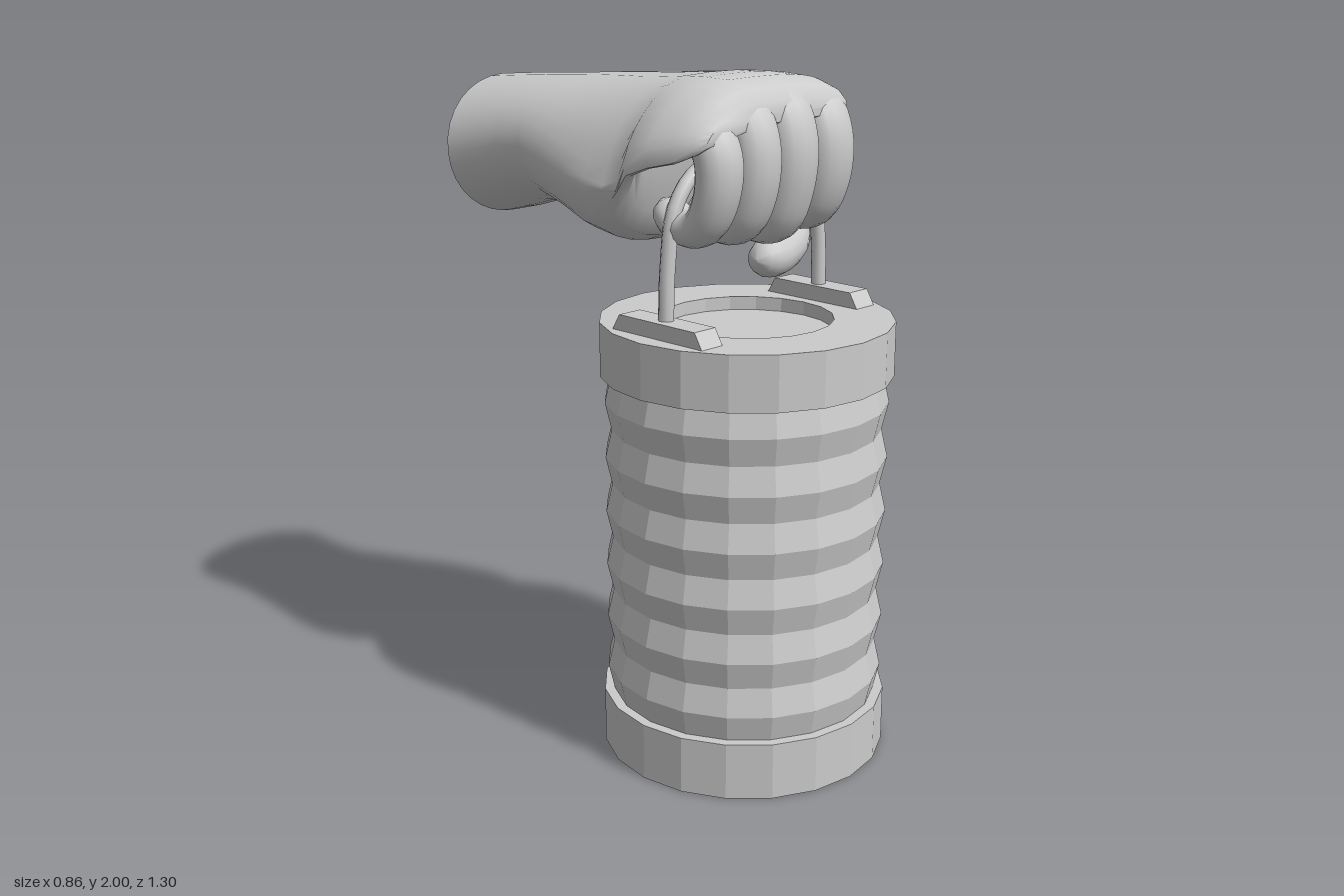
import * as THREE from 'three';
import { toCreasedNormals, mergeVertices } from 'three/addons/utils/BufferGeometryUtils.js';

const CZ = 0.22; // lantern axis in z
const flat = new THREE.MeshStandardMaterial({ color: 0xcccccc, flatShading: true });
const smooth = new THREE.MeshStandardMaterial({ color: 0xcccccc });

function part(parent, name, geometry, material) {
  const mesh = new THREE.Mesh(geometry, material);
  mesh.name = name;
  parent.add(mesh);
  return mesh;
}

// Skin a list of equal-length rings (counter-clockwise about their direction), closing both ends
function loft(rings, crease) {
  const n = rings[0].length;
  const pos = [], idx = [];
  rings.forEach(r => r.forEach(p => pos.push(p.x, p.y, p.z)));
  for (let i = 0; i < rings.length - 1; i++) {
    for (let j = 0; j < n; j++) {
      const a = i * n + j, b = i * n + (j + 1) % n;
      idx.push(a, b, a + n, b, b + n, a + n);
    }
  }
  [0, rings.length - 1].forEach(i => {
    const c = rings[i].reduce((s, p) => s.add(p), new THREE.Vector3()).divideScalar(n);
    const k = pos.length / 3;
    pos.push(c.x, c.y, c.z);
    for (let j = 0; j < n; j++) {
      const a = i * n + j, b = i * n + (j + 1) % n;
      if (i === 0) idx.push(k, b, a); else idx.push(k, a, b);
    }
  });
  const g = new THREE.BufferGeometry();
  g.setAttribute('position', new THREE.Float32BufferAttribute(pos, 3));
  g.setIndex(idx);
  return toCreasedNormals(mergeVertices(g), crease);
}

// Round-ended limb along a curve; widths and depths are interpolated along it
function limb(points, widths, depths, steps = 22, sides = 14) {
  const curve = new THREE.CatmullRomCurve3(points.map(p => new THREE.Vector3(...p)));
  const frames = curve.computeFrenetFrames(steps);
  const at = (list, u) => {
    const f = u * (list.length - 1), i = Math.min(Math.floor(f), list.length - 2);
    return THREE.MathUtils.lerp(list[i], list[i + 1], f - i);
  };
  const rings = [];
  for (let i = 0; i <= steps; i++) {
    const u = i / steps, e = Math.max(0, 1 - Math.min(u, 1 - u) / 0.1);
    const round = Math.max(0.12, Math.sqrt(1 - e * e));
    const c = curve.getPointAt(u), ring = [];
    for (let j = 0; j < sides; j++) {
      const t = j / sides * Math.PI * 2;
      ring.push(c.clone()
        .addScaledVector(frames.normals[i], Math.cos(t) * at(widths, u) * round)
        .addScaledVector(frames.binormals[i], Math.sin(t) * at(depths, u) * round));
    }
    rings.push(ring);
  }
  return loft(rings, 1.2);
}

function buildLantern() {
  const g = new THREE.Group();
  g.name = 'lantern';
  g.position.z = CZ;
  const lathe = pts => new THREE.LatheGeometry(pts.map(p => new THREE.Vector2(...p)), 20);

  part(g, 'base', lathe([[0, 0], [0.425, 0], [0.425, 0.17], [0.39, 0.17]]), flat);

  // Corrugated body
  const ribs = [];
  for (let i = 0; i <= 12; i++) ribs.push([i % 2 ? 0.413 : 0.394, 0.165 + i * 0.0825]);
  part(g, 'ribbedBody', lathe(ribs), flat);

  // Cap with a round recess
  part(g, 'cap', lathe([[0.39, 1.15], [0.425, 1.15], [0.425, 1.31], [0.25, 1.31], [0.25, 1.27], [0, 1.27]]), flat);

  // Sloped-end brackets holding the bail
  const side = new THREE.Shape([[-0.175, 1.305], [0.175, 1.305], [0.145, 1.355], [-0.145, 1.355]]
    .map(p => new THREE.Vector2(...p)));
  for (const s of [-1, 1]) {
    const b = new THREE.ExtrudeGeometry(side, { depth: 0.08, bevelEnabled: false });
    b.translate(0, 0, -0.04).rotateY(Math.PI / 2);
    part(g, s > 0 ? 'leftBracket' : 'rightBracket', b, flat).position.x = s * 0.325;
  }

  // Arched bail
  const arch = [[-0.322, 1.33], [-0.315, 1.5], [-0.285, 1.66], [-0.2, 1.75], [0, 1.77],
    [0.2, 1.75], [0.285, 1.66], [0.315, 1.5], [0.322, 1.33]];
  const path = new THREE.CatmullRomCurve3(arch.map(([x, y]) => new THREE.Vector3(x, y, -0.005)));
  part(g, 'bail', new THREE.TubeGeometry(path, 36, 0.022, 10), smooth);
  return g;
}

function buildHand() {
  const g = new THREE.Group();
  g.name = 'hand';

  // Forearm, palm and back of the hand: z, x range, y range
  const sections = [
    [-0.615, -0.43, 0.09, 1.54, 1.95], [-0.5, -0.417, 0.095, 1.565, 1.96],
    [-0.4, -0.404, 0.102, 1.592, 1.967], [-0.3, -0.4, 0.125, 1.605, 1.973],
    [-0.2, -0.402, 0.178, 1.57, 1.98], [-0.1, -0.412, 0.222, 1.535, 1.985],
    [0, -0.422, 0.245, 1.525, 1.99], [0.07, -0.42, 0.25, 1.55, 1.995],
    [0.12, -0.415, 0.25, 1.62, 1.998], [0.15, -0.41, 0.25, 1.82, 2.0],
    [0.22, -0.4, 0.252, 1.845, 2.0], [0.29, -0.38, 0.255, 1.845, 1.995],
    [0.345, -0.355, 0.25, 1.86, 1.97], [0.375, -0.33, 0.235, 1.88, 1.935]
  ];
  const N = 32;
  const rings = sections.map(([z, x0, x1, y0, y1]) => {
    const ring = [], k = THREE.MathUtils.smoothstep(z, -0.35, 0.15);
    const e = 2 / (2.05 + 0.75 * k);
    const cy = (y0 + y1) / 2;
    for (let j = 0; j < N; j++) {
      const t = j / N * Math.PI * 2, c = Math.cos(t), s = Math.sin(t);
      const x = (x0 + x1) / 2 + (x1 - x0) / 2 * Math.sign(c) * Math.abs(c) ** e;
      let y = cy + (y1 - y0) / 2 * Math.sign(s) * Math.abs(s) ** e;
      // The back of the hand falls away towards the little finger
      const high = THREE.MathUtils.clamp((y - 1.7) / 0.15, 0, 1);
      y -= k * high * 2 * Math.max(0, -x - 0.15) ** 2;
      // Slanted cut at the forearm
      const cut = THREE.MathUtils.clamp((-z - 0.3) / 0.315, 0, 1);
      ring.push(new THREE.Vector3(x, y, z - cut * (0.135 * (x + 0.17) + 0.1 * (y - 1.745))));
    }
    return ring;
  });
  part(g, 'forearmAndPalm', loft(rings, 0.95), smooth);

  // Curled fingers: x, half width, knuckle drop, forward shift, bottom rise
  const fingers = [
    ['indexFinger', 0.18, 0.08, 0.015, 0.003, 0.005],
    ['middleFinger', 0.025, 0.08, 0, 0.005, -0.015],
    ['ringFinger', -0.12, 0.076, 0.012, 0, 0],
    ['littleFinger', -0.255, 0.073, 0.05, -0.012, 0.008]
  ];
  for (const [name, x, w, drop, dz, rise] of fingers) {
    const pts = [[x, 1.91 - drop, 0.2], [x, 1.915 - drop, 0.31 + dz], [x, 1.83 - drop / 2, 0.355 + dz],
      [x, 1.7, 0.352 + dz], [x, 1.605 + rise, 0.3 + dz], [x, 1.6 + rise, 0.21], [x, 1.67, 0.135]];
    part(g, name, limb(pts, [w, w, w, w * 0.97, w * 0.93, w * 0.85, w * 0.75],
      [0.06, 0.062, 0.06, 0.057, 0.055, 0.05, 0.045], 28), smooth);
  }

  // Thumb wrapping beneath the fingers
  const r = [0.105, 0.115, 0.088, 0.072, 0.062, 0.055];
  part(g, 'thumb', limb([[0.05, 1.68, -0.2], [0.18, 1.635, -0.06], [0.252, 1.59, 0.06],
    [0.25, 1.505, 0.15], [0.15, 1.468, 0.2], [0.03, 1.468, 0.225]], r, r, 28), smooth);
  return g;
}

export function createModel() {
  const model = new THREE.Group();
  model.name = 'handHoldingLantern';
  model.add(buildLantern(), buildHand());
  return model;
}
